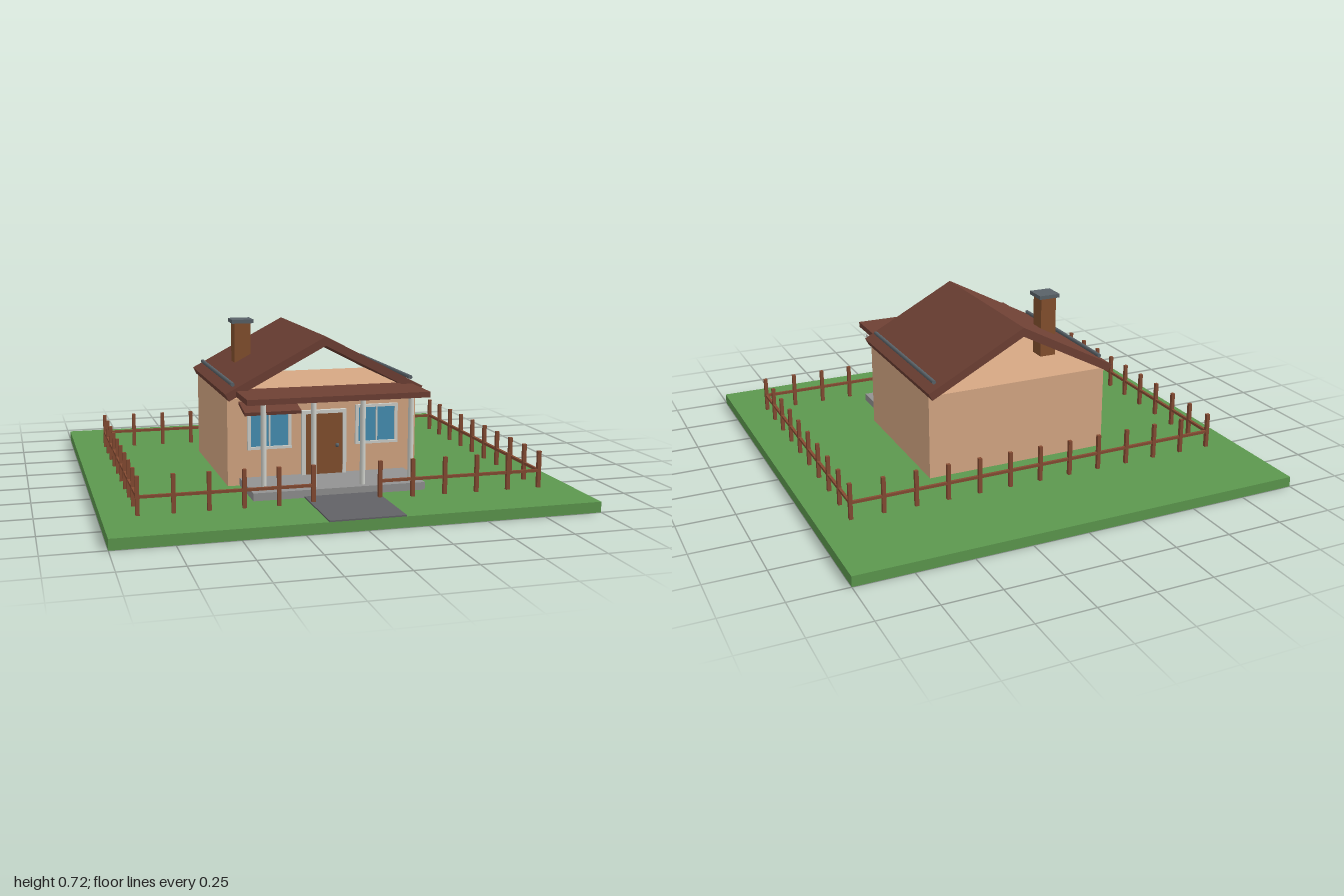
import * as THREE from 'three';

const mat = (name, color) => {
  const m = new THREE.MeshStandardMaterial({ color });
  m.name = name;
  return m;
};

export function createModel() {
  const M = {
    grass: mat('grass green', 0x5c984e),
    wall: mat('wall tan', 0xd6a884),
    roof: mat('roof brown', 0x6e4034),
    trim: mat('trim white', 0xd0d2cc),
    glass: mat('window blue', 0x4690b4),
    wood: mat('door brown', 0x84502e),
    fence: mat('fence brown', 0x854b32),
    porch: mat('porch grey', 0x929292),
    path: mat('path grey', 0x626266),
    metal: mat('metal grey', 0x596268),
  };
  const model = new THREE.Group();
  model.name = 'house';

  const add = (name, geometry, material, x, y, z, parent = model) => {
    const mesh = new THREE.Mesh(geometry, material);
    mesh.name = name;
    mesh.position.set(x, y, z);
    parent.add(mesh);
    return mesh;
  };
  // Box given by its extents on each axis
  const box = (name, material, [x0, x1], [y0, y1], [z0, z1], parent) =>
    add(name, new THREE.BoxGeometry(x1 - x0, y1 - y0, z1 - z0), material,
      (x0 + x1) / 2, (y0 + y1) / 2, (z0 + z1) / 2, parent);
  const group = (name) => {
    const g = new THREE.Group();
    g.name = name;
    model.add(g);
    return g;
  };

  // Plot, path and house body
  box('lawn', M.grass, [-1, 1], [0, 0.045], [-1, 1]);
  box('path', M.path, [-0.157, 0.157], [0.04, 0.051], [0.6, 1]);
  box('walls', M.wall, [-0.425, 0.425], [0.04, 0.425], [-0.357, 0.357]);

  // Main roof: a chevron section, open at both gables
  const section = new THREE.Shape([
    [0, 0.685], [-0.441, 0.453], [-0.425, 0.422], [0, 0.645], [0.425, 0.422], [0.441, 0.453],
  ].map(([x, y]) => new THREE.Vector2(x, y)));
  add('mainRoof', new THREE.ExtrudeGeometry(section, { depth: 0.8, bevelEnabled: false }), M.roof, 0, 0, -0.4);

  // Rails along the roof slopes
  for (const s of [-1, 1]) {
    const rail = add('roofRail', new THREE.CylinderGeometry(0.009, 0.009, 0.72, 10), M.metal, s * 0.4, 0.487, 0);
    rail.rotation.x = Math.PI / 2;
  }

  // Chimney, standing on the ceiling
  box('chimney', M.wood, [-0.31, -0.235], [0.42, 0.705], [-0.108, -0.032]);
  box('chimneyCap', M.metal, [-0.322, -0.222], [0.703, 0.72], [-0.12, -0.02]);

  // Porch
  box('porchFloor', M.porch, [-0.373, 0.373], [0.04, 0.078], [0.35, 0.628]);
  box('porchRoof', M.roof, [-0.394, 0.394], [0.441, 0.465], [0.357, 0.62]);
  for (const x of [-0.32, -0.107, 0.107, 0.32]) {
    add('porchPost', new THREE.CylinderGeometry(0.012, 0.012, 0.365, 12), M.trim, x, 0.26, 0.588);
  }
  // Awning on one side, trim shelf on the other
  const awning = add('awning', new THREE.BoxGeometry(0.245, 0.015, 0.125), M.roof, -0.252, 0.392, 0.417);
  awning.rotation.x = 0.22;
  box('porchShelf', M.trim, [0.1, 0.4], [0.42, 0.438], [0.357, 0.503]);

  // Door with its frame and knob
  const door = group('door');
  box('doorPanel', M.wood, [-0.085, 0.085], [0.078, 0.347], [0.35, 0.372], door);
  for (const s of [-1, 1]) {
    box('doorJamb', M.trim, [s * 0.092 - 0.008, s * 0.092 + 0.008], [0.078, 0.347], [0.35, 0.379], door);
  }
  box('doorLintel', M.trim, [-0.1, 0.1], [0.347, 0.362], [0.35, 0.379], door);
  add('doorKnob', new THREE.SphereGeometry(0.009, 12, 8), M.metal, 0.058, 0.204, 0.38, door);

  // Windows: glass, outer frame and a mullion
  for (const s of [-1, 1]) {
    const win = group(s > 0 ? 'leftWindow' : 'rightWindow');
    const c = s * 0.242;
    box('glass', M.glass, [c - 0.088, c + 0.088], [0.212, 0.368], [0.355, 0.363], win);
    for (const dx of [-0.09, 0, 0.09]) {
      const w = dx ? 0.007 : 0.003;
      box('windowBar', M.trim, [c + dx - w, c + dx + w], [0.205, 0.372], [0.355, 0.37], win);
    }
    for (const y of [0.207, 0.37]) {
      box('windowRail', M.trim, [c - 0.097, c + 0.097], [y - 0.006, y + 0.006], [0.355, 0.372], win);
    }
  }

  // Fence with a gap at the path
  const fence = group('fence');
  const step = 1 / 7, X = 6 * step, Z0 = -4 * step, Z1 = 5 * step, t = 0.008;
  const post = (x, z) =>
    box('fencePost', M.fence, [x - t, x + t], [0.04, 0.204], [z - t, z + t], fence);
  const rail = (x0, x1, z0, z1) =>
    box('fenceRail', M.fence, [x0 - 0.006, x1 + 0.006], [0.113, 0.125], [z0 - 0.006, z1 + 0.006], fence);
  for (let i = -6; i <= 6; i++) {
    post(i * step, Z0);
    if (i !== 0) post(i * step, Z1);
  }
  for (let i = -3; i <= 4; i++) {
    post(-X, i * step);
    post(X, i * step);
  }
  rail(-X, X, Z0, Z0);
  rail(-X, -step, Z1, Z1);
  rail(step, X, Z1, Z1);
  rail(-X, -X, Z0, Z1);
  rail(X, X, Z0, Z1);

  return model;
}
